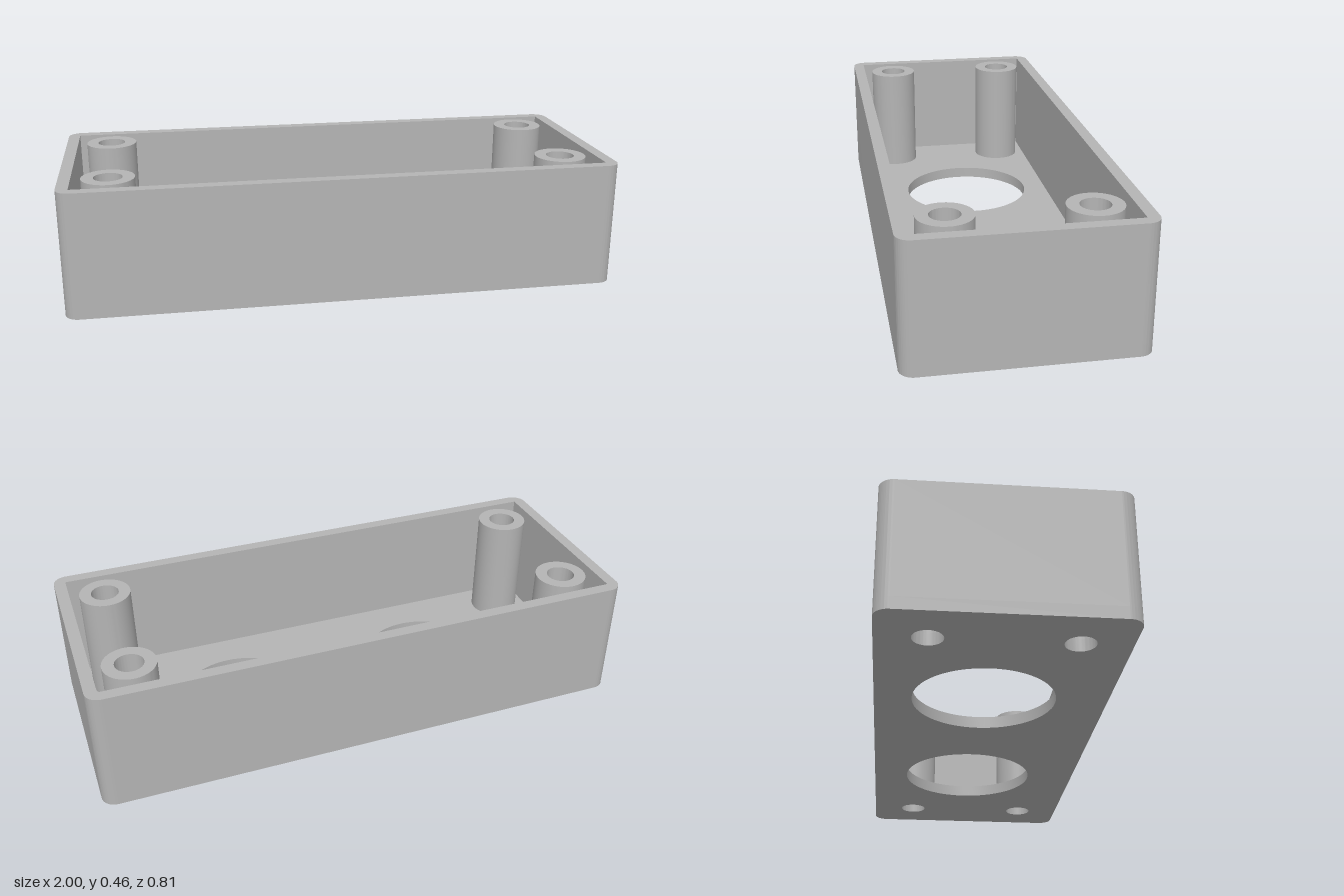
import * as THREE from 'three';
import { toCreasedNormals } from 'three/addons/utils/BufferGeometryUtils.js';

const W = 1, D = 0.405, H = 0.457;      // half width, half depth, height
const WALL = 0.043, CORNER = 0.05;
const BOSS_X = 0.829, BOSS_Z = 0.237, BOSS_R = 0.094, SCREW_R = 0.051;
const PORT_X = 0.385, PORT_Z = -0.025, PORT_R = 0.25;

function roundedRect(w, d, r) {
  const s = new THREE.Shape();
  s.moveTo(w, d - r);
  s.absarc(w - r, d - r, r, 0, Math.PI / 2);
  s.absarc(-w + r, d - r, r, Math.PI / 2, Math.PI);
  s.absarc(-w + r, -d + r, r, Math.PI, Math.PI * 1.5);
  s.absarc(w - r, -d + r, r, Math.PI * 1.5, Math.PI * 2);
  s.closePath();
  return s;
}

function circle(x, z, r, Type = THREE.Path) {
  return new Type().absarc(x, -z, r, 0, Math.PI * 2);
}

// Extrudes a plan outline upward from y0 to y1
function raise(name, shape, y0, y1, material) {
  const geo = new THREE.ExtrudeGeometry(shape, { depth: y1 - y0, bevelEnabled: false, curveSegments: 32 });
  geo.rotateX(-Math.PI / 2).translate(0, y0, 0);
  const mesh = new THREE.Mesh(toCreasedNormals(geo, 0.6), material);
  mesh.name = name;
  return mesh;
}

export function createModel() {
  const group = new THREE.Group();
  group.name = 'enclosure';
  const grey = new THREE.MeshStandardMaterial({ color: 0xb4b4b4 });
  grey.name = 'grey plastic';

  const bosses = [];
  for (const sx of [-1, 1]) for (const sz of [-1, 1]) bosses.push([sx * BOSS_X, sz * BOSS_Z]);

  // Floor with two large ports and four screw holes
  const floor = roundedRect(W, D, CORNER);
  for (const sx of [-1, 1]) floor.holes.push(circle(sx * PORT_X, PORT_Z, PORT_R));
  for (const [x, z] of bosses) floor.holes.push(circle(x, z, SCREW_R));
  group.add(raise('floor', floor, 0, WALL, grey));

  // Walls: rounded outside, square inside corners
  const walls = roundedRect(W, D, CORNER);
  const iw = W - WALL, id = D - WALL;
  walls.holes.push(new THREE.Path([[-iw, -id], [-iw, id], [iw, id], [iw, -id]].map(p => new THREE.Vector2(...p))));
  group.add(raise('walls', walls, WALL, H, grey));

  // Hollow screw posts, flush with the rim
  for (const [x, z] of bosses) {
    const post = circle(x, z, BOSS_R, THREE.Shape);
    post.holes.push(circle(x, z, SCREW_R));
    group.add(raise('screwPost', post, WALL, H, grey));
  }
  return group;
}
